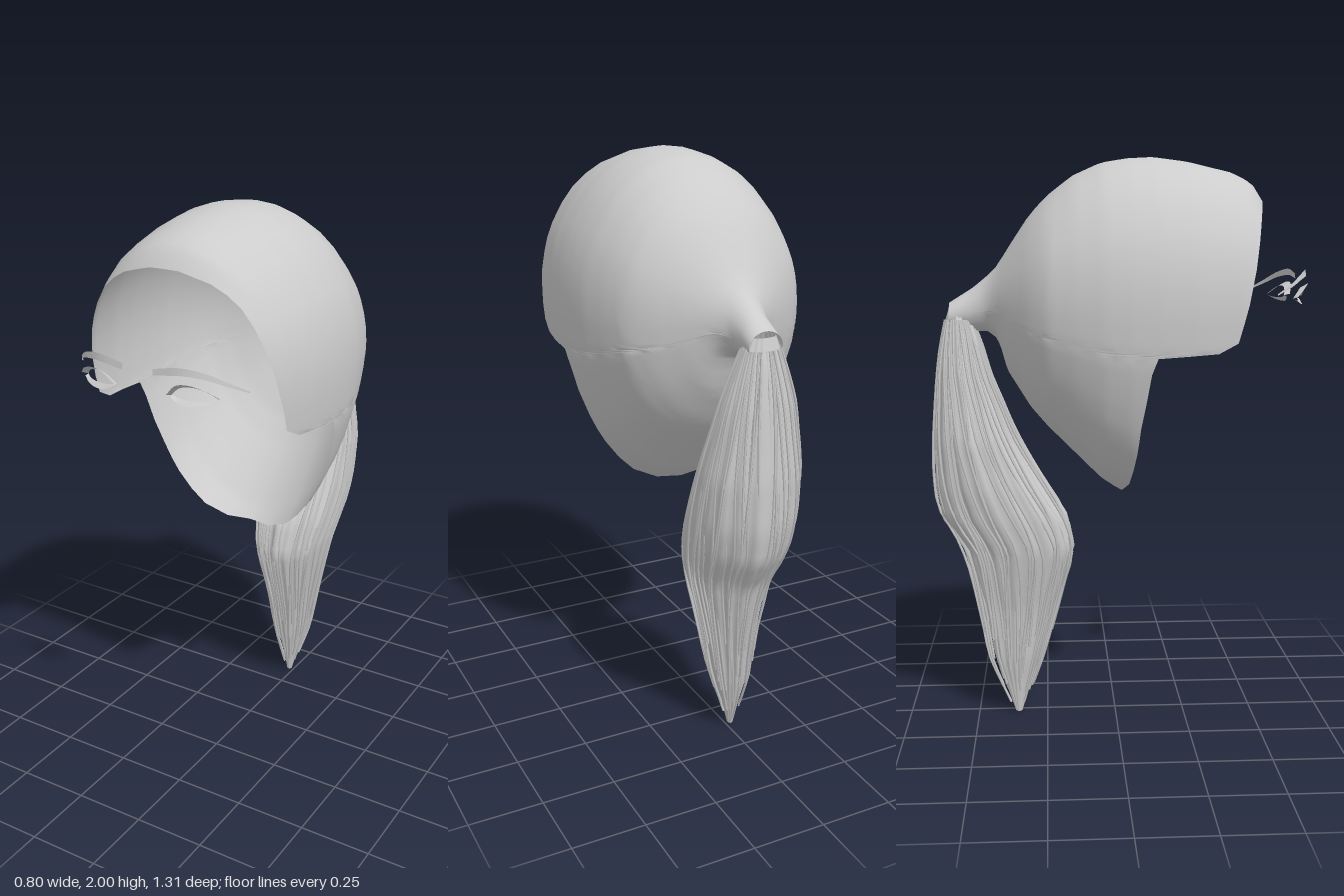
import * as THREE from 'three';
import { mergeGeometries } from 'three/addons/utils/BufferGeometryUtils.js';

// Linear lookup in rows sorted by their first column; returns the other columns.
function lookup(rows, k) {
  let i = 1;
  while (i < rows.length - 1 && rows[i][0] < k) i++;
  const a = rows[i - 1], b = rows[i];
  const t = THREE.MathUtils.clamp((k - a[0]) / (b[0] - a[0]), 0, 1);
  return a.slice(1).map((v, j) => THREE.MathUtils.lerp(v, b[j + 1], t));
}

// Surface through a grid of cross-sections, optionally closed around each row.
function loft(grid, closed) {
  const n = grid[0].length, index = [];
  for (let r = 0; r < grid.length - 1; r++) {
    for (let c = 0; c < (closed ? n : n - 1); c++) {
      const a = r * n + c, b = r * n + (c + 1) % n;
      index.push(a, b, a + n, b, b + n, a + n);
    }
  }
  const g = new THREE.BufferGeometry();
  g.setAttribute('position', new THREE.Float32BufferAttribute(grid.flat(2), 3));
  g.setIndex(index);
  g.computeVertexNormals();
  return g;
}

// Head slices: z, top y, middle y, bottom y, half width
const HEAD = [
  [-0.58, 1.5, 1.45, 1.41, 0.06], [-0.5, 1.55, 1.475, 1.4, 0.06],
  [-0.45, 1.59, 1.49, 1.4, 0.075], [-0.41, 1.63, 1.5, 1.37, 0.12],
  [-0.38, 1.68, 1.5, 1.26, 0.165], [-0.3, 1.8, 1.5, 1.13, 0.27],
  [-0.24, 1.865, 1.5, 1.06, 0.325], [-0.15, 1.935, 1.5, 0.97, 0.36],
  [-0.05, 1.98, 1.5, 0.87, 0.388], [0.04, 1.995, 1.5, 0.81, 0.398],
  [0.13, 2, 1.5, 0.81, 0.4], [0.25, 1.985, 1.5, 0.81, 0.392],
  [0.4, 1.95, 1.5, 0.81, 0.362], [0.47, 1.915, 1.5, 0.81, 0.33],
  [0.505, 1.86, 1.5, 0.81, 0.3],
];

// Hairline: angle from the crown, z of the edge
const HAIRLINE = [
  [0, 0.505], [0.35, 0.5], [0.7, 0.482], [1.05, 0.462], [1.3, 0.445], [1.57, 0.42],
  [1.75, 0.385], [1.8, 0.32], [1.82, 0.12], [1.9, 0.1], [2.2, 0.07], [2.4, 0.06],
  [2.7, 0.04], [Math.PI, 0],
];

function hairCap() {
  const half = [];
  HAIRLINE.forEach(([a], i) => {
    if (i) half.push((HAIRLINE[i - 1][0] + a) / 2);
    half.push(a);
  });
  const angles = [...half, ...half.slice(1, -1).reverse().map((a) => -a)];
  const grid = [], steps = 40;
  for (let i = 0; i <= steps; i++) {
    grid.push(angles.map((a) => {
      const z = THREE.MathUtils.lerp(-0.58, lookup(HAIRLINE, Math.abs(a))[0], i / steps);
      const [top, mid, bottom, w] = lookup(HEAD, z);
      const c = Math.cos(a);
      return [w * Math.sin(a), mid + c * (c > 0 ? top - mid : mid - bottom), z];
    }));
  }
  return loft(grid, true);
}

// Ponytail slices: y, front z, back z, half width
const TAIL = [
  [0, -0.34, -0.37, 0.012], [0.1, -0.3, -0.415, 0.035], [0.2, -0.26, -0.46, 0.065],
  [0.4, -0.2, -0.5, 0.09], [0.62, -0.14, -0.55, 0.135], [0.74, -0.17, -0.63, 0.16],
  [0.85, -0.24, -0.65, 0.175], [1.02, -0.34, -0.65, 0.175], [1.26, -0.44, -0.63, 0.13],
  [1.4, -0.48, -0.61, 0.085], [1.48, -0.52, -0.585, 0.05],
];

function tailPoint(y, a, f) {
  const [front, back, w] = lookup(TAIL, y);
  return [
    w * f * Math.sin(a) - 0.02 * Math.max(0, 1 - y / 0.4),
    y,
    (front + back) / 2 + f * Math.cos(a) * (front - back) / 2,
  ];
}

// Locked core of the tail, grooved lengthwise
function tailCore() {
  const grid = [], cols = 72;
  for (let i = 0; i <= 48; i++) {
    const y = 1.48 * (1 - i / 48), row = [];
    const slim = 0.74 + 0.2 * THREE.MathUtils.smoothstep(y, 0.1, 0.7);
    for (let j = 0; j < cols; j++) {
      const a = j / cols * Math.PI * 2;
      row.push(tailPoint(y, a, slim + 0.035 * Math.sin(18 * a) + 0.02 * Math.sin(7 * a)));
    }
    grid.push(row);
  }
  return loft(grid, true);
}

// Loose strands of uneven length around the core
function tailStrands() {
  let seed = 7;
  const rnd = () => (seed = (seed * 16807) % 2147483647) / 2147483647;
  const parts = [];
  for (let i = 0; i < 80; i++) {
    const a = (i + rnd()) / 80 * Math.PI * 2;
    const end = 0.03 + 0.35 * rnd(), f = 0.88 + 0.12 * rnd(), pts = [];
    for (let k = 0; k <= 12; k++) {
      const y = THREE.MathUtils.lerp(1.44, end, k / 12);
      pts.push(new THREE.Vector3(...tailPoint(y, a + 0.1 * Math.sin(k / 3 + i), f)));
    }
    parts.push(new THREE.TubeGeometry(new THREE.CatmullRomCurve3(pts), 24, 0.0045, 4));
  }
  return mergeGeometries(parts);
}

// Smooth band between two edge curves, mirrored by side
function band(edges, side) {
  const rows = edges.map((pts) =>
    new THREE.CatmullRomCurve3(pts.map(([x, y, z]) => new THREE.Vector3(x * side, y, z)))
      .getPoints(20).map((p) => p.toArray()));
  return loft(rows, false);
}

const FACE = {
  eyebrow: [
    [[0.055, 1.6, 0.652], [0.15, 1.615, 0.645], [0.22, 1.6, 0.615], [0.27, 1.57, 0.575], [0.31, 1.535, 0.52]],
    [[0.055, 1.58, 0.655], [0.15, 1.592, 0.648], [0.22, 1.582, 0.618], [0.27, 1.558, 0.577], [0.31, 1.53, 0.52]],
  ],
  upperLash: [
    [[0.1, 1.52, 0.625], [0.135, 1.548, 0.63], [0.175, 1.553, 0.622], [0.215, 1.54, 0.605], [0.24, 1.518, 0.585]],
    [[0.095, 1.525, 0.645], [0.135, 1.562, 0.655], [0.175, 1.568, 0.65], [0.22, 1.553, 0.63], [0.255, 1.525, 0.6]],
  ],
  lowerLash: [
    [[0.1, 1.52, 0.625], [0.135, 1.513, 0.624], [0.175, 1.51, 0.617], [0.215, 1.512, 0.602], [0.24, 1.518, 0.585]],
    [[0.105, 1.515, 0.635], [0.135, 1.5, 0.638], [0.175, 1.497, 0.633], [0.215, 1.502, 0.616], [0.245, 1.514, 0.595]],
  ],
};

export function createModel() {
  const model = new THREE.Group();
  const hair = new THREE.MeshStandardMaterial({ color: 0xcccccc, side: THREE.DoubleSide });
  hair.name = 'lightGrey';
  const add = (name, geometry) => {
    const mesh = new THREE.Mesh(geometry, hair);
    mesh.name = name;
    model.add(mesh);
  };

  add('hairCap', hairCap());
  add('ponytailCore', tailCore());
  add('ponytailStrands', tailStrands());

  // Brows and lashes on both sides
  for (const [label, side] of [['left', 1], ['right', -1]]) {
    for (const [part, edges] of Object.entries(FACE)) {
      add(label + part[0].toUpperCase() + part.slice(1), band(edges, side));
    }
  }
  return model;
}
